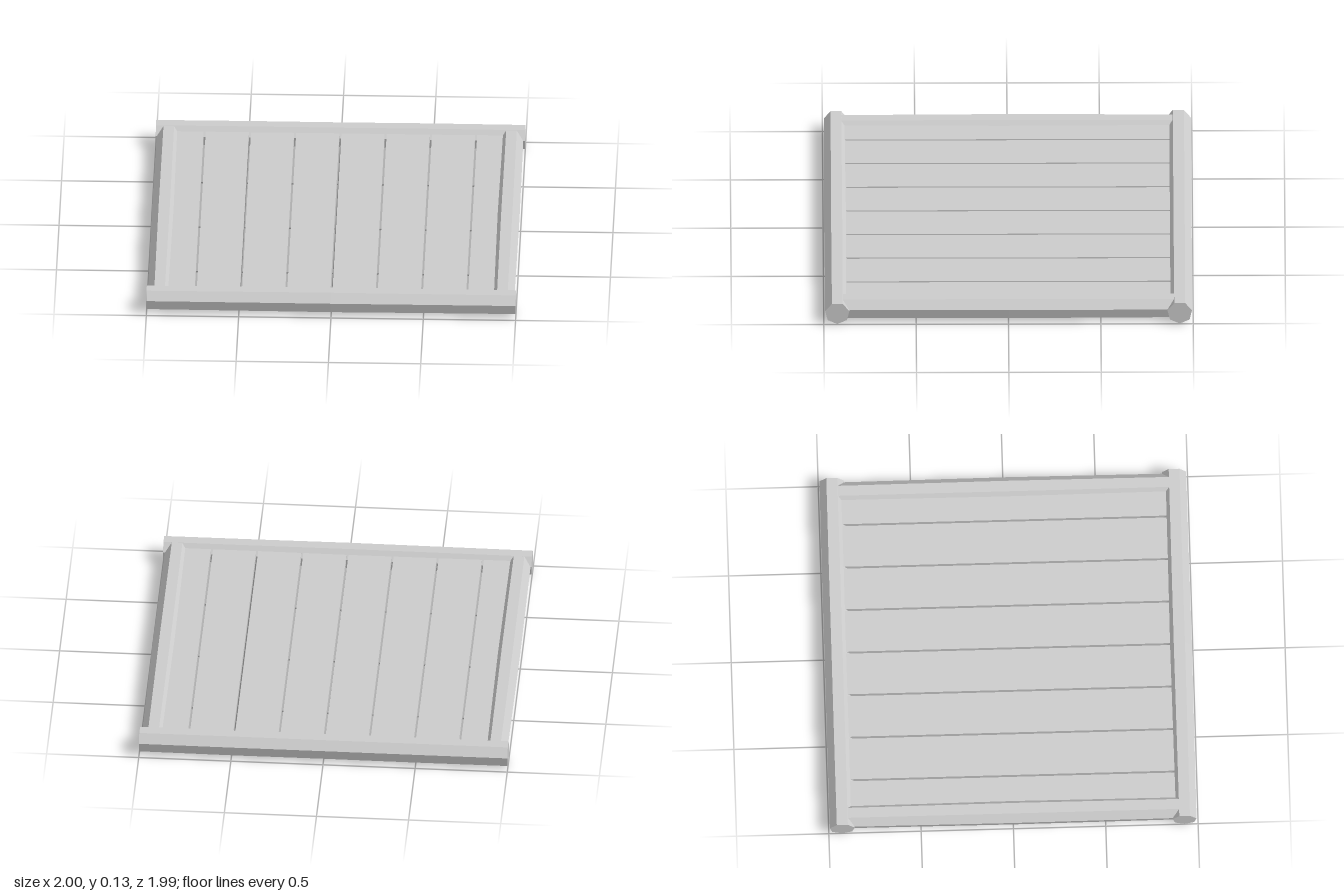
import * as THREE from 'three';

export function createModel() {
  const group = new THREE.Group();
  const wood = new THREE.MeshStandardMaterial({ color: 0xcccccc, flatShading: true });
  wood.name = 'paleWood';

  // Seven-sided log along x, flat on top, its thickness varying gently along its length
  function logGeometry(length, radii) {
    const segments = radii.length - 1;
    const geo = new THREE.CylinderGeometry(1, 1, length, 7, segments, false, -Math.PI / 2);
    geo.rotateZ(Math.PI / 2);
    const pos = geo.attributes.position;
    for (let i = 0; i < pos.count; i++) {
      const r = radii[Math.round((pos.getX(i) / length + 0.5) * segments)];
      pos.setY(i, pos.getY(i) * r);
      pos.setZ(i, pos.getZ(i) * r);
    }
    geo.computeVertexNormals();
    return geo;
  }

  function addMesh(name, geo, x, y, z) {
    const mesh = new THREE.Mesh(geo, wood);
    mesh.name = name;
    mesh.position.set(x, y, z);
    group.add(mesh);
    return mesh;
  }

  // Front and back logs run the full width
  addMesh('frontLog', logGeometry(2, [0.066, 0.068, 0.07, 0.068, 0.067]), 0, 0.07, 0.927);
  addMesh('backLog', logGeometry(2, [0.069, 0.07, 0.069, 0.07, 0.068]), 0, 0.07, -0.927);

  // Side logs fit between them
  const sideRadii = [0.066, 0.068, 0.07, 0.068, 0.066];
  addMesh('leftLog', logGeometry(1.83, sideRadii), 0.926, 0.07, 0).rotation.y = Math.PI / 2;
  addMesh('rightLog', logGeometry(1.83, sideRadii), -0.93, 0.07, 0).rotation.y = Math.PI / 2;

  // Eight planks with narrow open gaps, tucked into the frame
  const pitch = 0.245, gap = 0.011, thickness = 0.038;
  for (let i = 0; i < 8; i++) {
    const width = (i === 0 || i === 7) ? 0.2 : pitch - gap;
    const inner = (i - 3.5) * pitch;
    const shift = i === 0 ? (pitch - gap - width) / 2 : i === 7 ? -(pitch - gap - width) / 2 : 0;
    addMesh('plank' + (i + 1), new THREE.BoxGeometry(width, thickness, 1.84), inner + shift, 0.089, 0);
  }

  return group;
}
